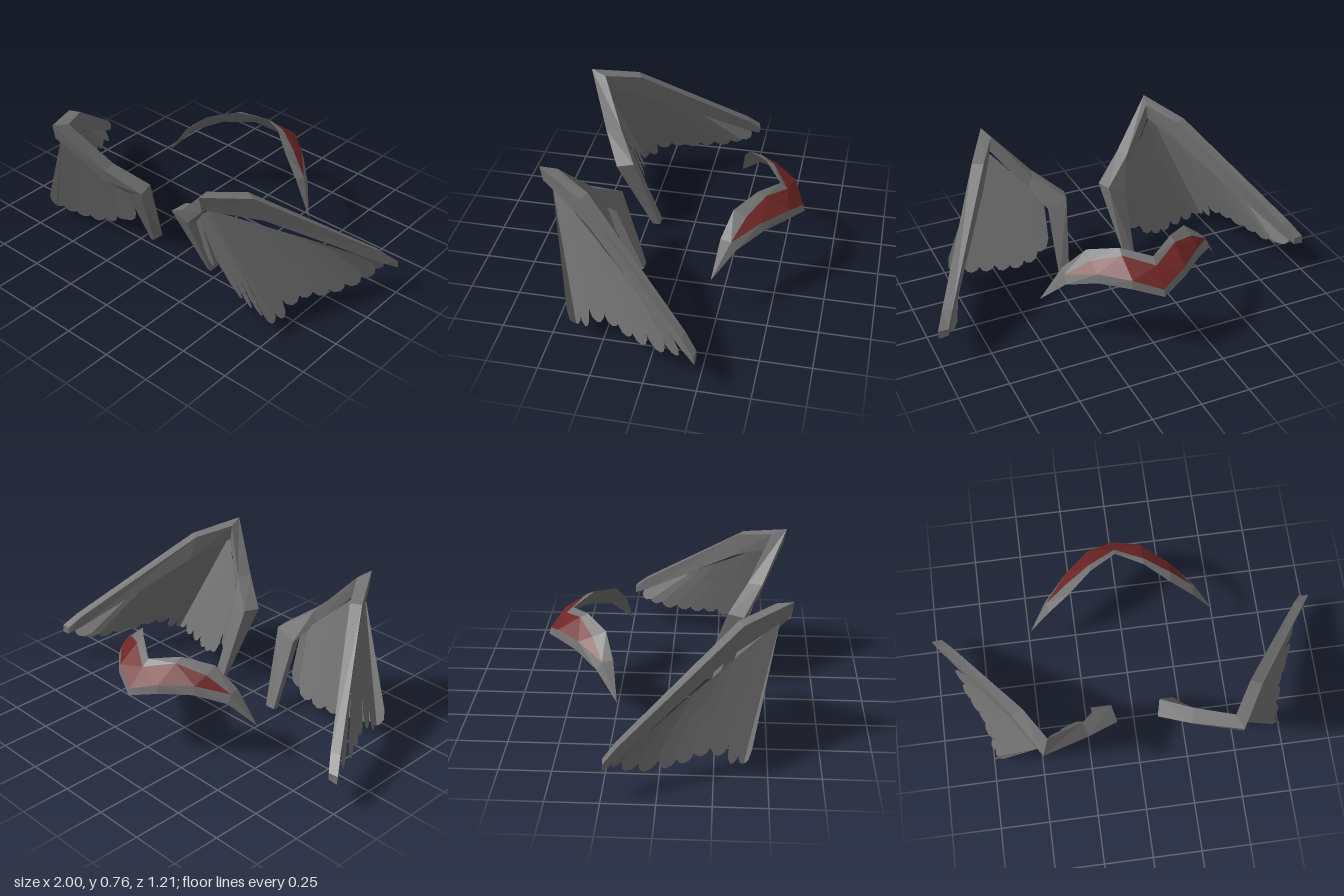
import * as THREE from 'three';

const grey = new THREE.MeshStandardMaterial({ color: 0x727272, side: THREE.DoubleSide, flatShading: true });
grey.name = 'slate grey';
const red = new THREE.MeshStandardMaterial({ color: 0x6e2525, side: THREE.DoubleSide, flatShading: true });
red.name = 'dark red';

const V = (p) => new THREE.Vector3(...p);

function meshFrom(points, name, material) {
  const geo = new THREE.BufferGeometry();
  geo.setAttribute('position', new THREE.Float32BufferAttribute(points.flatMap((p) => [p.x, p.y, p.z]), 3));
  geo.computeVertexNormals();
  const mesh = new THREE.Mesh(geo, material);
  mesh.name = name;
  return mesh;
}

const quad = (a, b, c, d) => [a, b, c, a, c, d];

// Tapered bar through four-cornered cross-sections, capped at both ends
function bar(sections, name) {
  const s = sections.map((ring) => ring.map(V));
  const pts = [];
  for (let i = 0; i < s.length - 1; i++) {
    for (let j = 0; j < 4; j++) {
      const k = (j + 1) % 4;
      pts.push(...quad(s[i][j], s[i][k], s[i + 1][k], s[i + 1][j]));
    }
  }
  const e = s[s.length - 1];
  pts.push(...quad(s[0][3], s[0][2], s[0][1], s[0][0]), ...quad(e[0], e[1], e[2], e[3]));
  return meshFrom(pts, name, grey);
}

// Flat strip between two rails
function strip(railA, railB) {
  const pts = [];
  for (let i = 0; i < railA.length - 1; i++) pts.push(...quad(railA[i], railB[i], railB[i + 1], railA[i + 1]));
  return pts;
}

// Flat feather from a root edge a-b to a rounded tip
function feather(a, b, tip, half, lift, name) {
  const along = tip.clone().sub(a.clone().add(b).multiplyScalar(0.5)).normalize();
  const side = b.clone().sub(a);
  side.addScaledVector(along, -side.dot(along)).normalize();
  const normal = new THREE.Vector3().crossVectors(along, side).multiplyScalar(lift);
  const at = (u, v) => tip.clone().addScaledVector(along, -u).addScaledVector(side, v * half);
  const outline = [a.clone(), at(0.07, -1), at(0.022, -0.75), at(0, -0.25), at(0, 0.25), at(0.022, 0.75), at(0.07, 1), b.clone()];
  outline.forEach((p) => p.add(normal));
  const pts = [];
  for (let i = 1; i < outline.length - 1; i++) pts.push(outline[0], outline[i], outline[i + 1]);
  return meshFrom(pts, name, grey);
}

function makeWing() {
  const wing = new THREE.Group();

  // Long outer spar running back to the wing tip
  wing.add(bar([
    [[0.465, 0.76, 0.6], [0.44, 0.74, 0.52], [0.45, 0.66, 0.52], [0.47, 0.69, 0.585]],
    [[0.595, 0.695, 0.375], [0.54, 0.695, 0.35], [0.56, 0.565, 0.32], [0.62, 0.565, 0.33]],
    [[0.955, 0.265, -0.17], [0.905, 0.265, -0.18], [0.91, 0.2, -0.18], [0.96, 0.2, -0.175]],
    [[1.0, 0.2, -0.235], [0.95, 0.2, -0.24], [0.95, 0.165, -0.24], [1.0, 0.16, -0.24]],
  ], 'outerSpar'));

  // Inner spar bending down at the elbow
  wing.add(bar([
    [[0.465, 0.76, 0.6], [0.44, 0.74, 0.52], [0.45, 0.66, 0.52], [0.47, 0.68, 0.585]],
    [[0.25, 0.53, 0.475], [0.27, 0.53, 0.4], [0.29, 0.46, 0.4], [0.27, 0.455, 0.46]],
    [[0.1, 0.41, 0.385], [0.12, 0.42, 0.3], [0.22, 0.37, 0.31], [0.2, 0.38, 0.385]],
    [[0.185, 0.005, 0.22], [0.165, 0.02, 0.175], [0.22, 0.02, 0.175], [0.205, 0, 0.22]],
  ], 'innerSpar'));

  const top = V([0.475, 0.67, 0.54]);

  // Outer feather fan, all tips lying on one leaning plane
  const sparEnd = V([0.965, 0.185, -0.21]);
  const outerTips = [[0.38, 0.06], [0.33, 0.07], [0.26, 0.12], [0.18, 0.13], [0.1, 0.115], [0.02, 0.11], [-0.07, 0.11], [-0.15, 0.13], [-0.2, 0.155]];
  outerTips.forEach(([z, y], i) => {
    const x = 0.475 + (0.133 * (0.67 - y) + 0.167 * (0.54 - z)) / 0.42;
    const t = 0.6 * Math.pow(i / 8, 1.2);
    const a = top.clone().lerp(sparEnd, t);
    const b = top.clone().lerp(sparEnd, Math.min(1, t + 0.18));
    wing.add(feather(a, b, new THREE.Vector3(x, y, z), i < 2 ? 0.03 : 0.048, (i % 3) * 0.003, 'outerFeather'));
  });

  // Inner feather fan between apex and elbow
  const elbow = V([0.22, 0.4, 0.35]);
  const innerTips = [[0.73, 0.065, 0.39], [0.65, 0.055, 0.375], [0.57, 0.05, 0.36], [0.49, 0.05, 0.33], [0.42, 0.06, 0.305], [0.35, 0.09, 0.285], [0.28, 0.13, 0.3]];
  innerTips.forEach((tip, i) => {
    const t = 0.12 * i;
    const a = top.clone().lerp(elbow, t);
    const b = top.clone().lerp(elbow, Math.min(1, t + 0.25));
    wing.add(feather(a, b, V(tip), 0.05, (i % 3) * 0.003, 'innerFeather'));
  });
  return wing;
}

// Half of the arched crest: bevelled rim, raised panel and underside
function makeCrestHalf() {
  const half = new THREE.Group();
  const end = [0.48, 0.22, -0.217];
  const panelEnd = [0.38, 0.385, -0.295];
  const upper = [[0, 0.495, -0.475], [0.135, 0.525, -0.385], [0.26, 0.49, -0.285], [0.37, 0.39, -0.242], end].map(V);
  const lower = [[0, 0.345, -0.605], [0.14, 0.39, -0.545], [0.27, 0.392, -0.435], [0.385, 0.345, -0.322], end].map(V);
  const panelUpper = [[0, 0.465, -0.512], [0.14, 0.507, -0.425], [0.27, 0.465, -0.35], panelEnd].map(V);
  const panelLower = [[0, 0.38, -0.595], [0.135, 0.432, -0.538], [0.265, 0.434, -0.422], panelEnd].map(V);
  const stop = V(panelEnd);
  half.add(meshFrom([
    ...strip(upper.slice(0, 4), panelUpper),
    ...strip(panelLower, lower.slice(0, 4)),
    upper[3], stop, upper[4], stop, lower[3], lower[4],
    ...strip(lower, upper),
  ], 'crestRim', grey));
  half.add(meshFrom(strip(panelUpper, panelLower), 'crestPanel', red));
  return half;
}

export function createModel() {
  const model = new THREE.Group();
  model.name = 'wingsAndCrest';
  for (const sign of [1, -1]) {
    const side = sign > 0 ? 'left' : 'right';
    const wing = makeWing();
    wing.name = side + 'Wing';
    const crest = makeCrestHalf();
    crest.name = side + 'Crest';
    wing.scale.x = crest.scale.x = sign;
    model.add(wing, crest);
  }
  return model;
}
